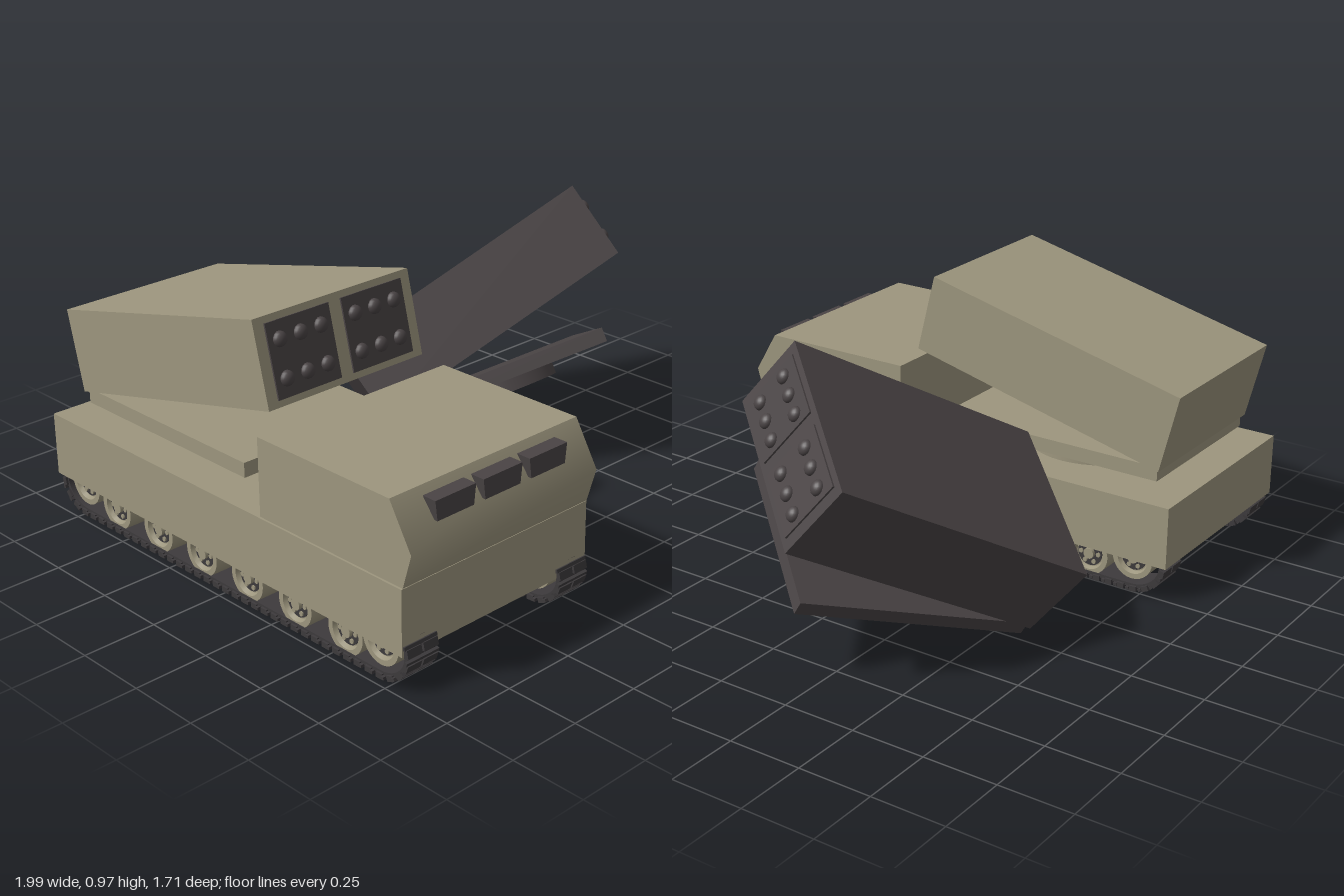
import * as THREE from 'three';
import { toCreasedNormals } from 'three/addons/utils/BufferGeometryUtils.js';

const mat = (name, color) => {
  const m = new THREE.MeshStandardMaterial({ color });
  m.name = name;
  return m;
};
const CX = -0.61; // vehicle centre line

export function createModel() {
  const model = new THREE.Group();
  const tan = mat('desert tan', 0x9d967e);
  const dark = mat('charcoal', 0x4a4445);
  const trackMat = mat('track steel', 0x3d3a3c);

  const add = (parent, name, geo, material, x = 0, y = 0, z = 0) => {
    const m = new THREE.Mesh(geo, material);
    m.name = name;
    m.position.set(x, y, z);
    parent.add(m);
    return m;
  };
  const box = (w, h, d) => new THREE.BoxGeometry(w, h, d);
  // Side profile of [z, y] points, extruded across x and centred
  const sideExtrude = (shape, width) =>
    new THREE.ExtrudeGeometry(shape, { depth: width, bevelEnabled: false, curveSegments: 24 })
      .translate(0, 0, -width / 2).rotateY(-Math.PI / 2);
  const poly = (pts) => new THREE.Shape(pts.map(([a, b]) => new THREE.Vector2(a, b)));

  // Hull and cab
  add(model, 'hull', box(0.77, 0.217, 1.67), tan, CX, 0.2275, -0.018);
  const cab = poly([[0.21, 0.34], [0.82, 0.34], [0.855, 0.455], [0.77, 0.6], [0.21, 0.6]]);
  add(model, 'cab', toCreasedNormals(sideExtrude(cab, 0.765), 0.95), tan, CX);

  // Windscreen shutters, slightly narrower at the bottom
  const shutter = new THREE.ExtrudeGeometry(
    poly([[-0.072, 0.51], [0.072, 0.51], [0.08, 0.575], [-0.08, 0.575]]),
    { depth: 0.06, bevelEnabled: false });
  for (const dx of [-0.19, 0, 0.19]) add(model, 'windowShutter', shutter, dark, CX + dx, 0, 0.775);

  // Launcher; local origin is the rear lower edge of the box
  const PITCH = 0.236, W = 0.625, H = 0.279, L = 0.982;
  const tip = new THREE.SphereGeometry(0.025, 14, 6, 0, Math.PI * 2, 0, Math.PI / 2)
    .scale(1, 0.8, 1).rotateX(Math.PI / 2);
  function launcher(name, bodyMat) {
    const g = new THREE.Group();
    g.name = name;
    add(g, 'turntable', new THREE.CylinderGeometry(0.24, 0.24, 0.045, 40), bodyMat, 0, -0.0625, 0.41);
    add(g, 'basePlate', box(0.6, 0.05, 0.8), bodyMat, 0, -0.015, 0.41);
    const pod = new THREE.Group();
    pod.name = 'launchBox';
    pod.rotation.x = -PITCH;
    g.add(pod);
    add(pod, 'boxBody', box(W, H, L), bodyMat, 0, H / 2, L / 2);
    for (const s of [-1, 1]) {
      add(pod, 'tubePanel', box(0.248, 0.235, 0.008), dark, s * 0.149, H / 2, L + 0.002);
      for (const i of [-1, 0, 1])
        for (const j of [-1, 1])
          add(pod, 'rocketTip', tip, dark, s * 0.149 + i * 0.08, H / 2 + j * 0.06, L + 0.006);
    }
    model.add(g);
    return g;
  }
  launcher('mountedLauncher', tan).position.set(CX, 0.42, -0.77);

  // Detached launcher lying tilted beside the vehicle
  const loose = launcher('detachedLauncher', dark);
  const fwd = new THREE.Vector3(0.825, 0.289, 0.486).normalize();
  const up = new THREE.Vector3(-0.007, 0.863, -0.505);
  const side = up.clone().cross(fwd).normalize();
  up.copy(fwd).cross(side);
  loose.quaternion.setFromRotationMatrix(new THREE.Matrix4().makeBasis(side, up, fwd));
  loose.position.set(0.035, 0.148, -0.388);

  // Running gear
  const loop = (r, rz) => {
    const s = new THREE.Shape();
    s.absellipse(0.71, 0.11, rz, r, -Math.PI / 2, Math.PI / 2, false);
    s.absellipse(-0.72, 0.11, rz, r, Math.PI / 2, Math.PI * 1.5, false);
    s.closePath();
    return s;
  };
  const belt = loop(0.096, 0.113);
  belt.holes.push(loop(0.083, 0.1));
  const beltGeo = sideExtrude(belt, 0.105);
  const linkPath = loop(0.098, 0.115);
  const LINKS = 76;
  const padGeo = box(0.056, 0.018, 0.026);
  const barGeo = box(0.128, 0.01, 0.012);

  const wheelGeo = new THREE.LatheGeometry(
    [[0, -0.035], [0.05, -0.035], [0.056, -0.05], [0.074, -0.05], [0.074, 0.05],
      [0.056, 0.05], [0.05, 0.035], [0, 0.035]].map(([a, b]) => new THREE.Vector2(a, b)), 28);
  const wheelShape = toCreasedNormals(wheelGeo.rotateZ(-Math.PI / 2), 0.5);
  const disc = (r, t, n) => new THREE.CylinderGeometry(r, r, t, n).rotateZ(Math.PI / 2);
  const recess = disc(0.046, 0.076, 24);
  const hub = disc(0.019, 0.1, 16);
  const bolt = disc(0.008, 0.086, 8);

  for (const s of [-1, 1]) {
    const unit = new THREE.Group();
    unit.name = s < 0 ? 'rightTrack' : 'leftTrack';
    unit.position.x = CX + s * 0.317;
    model.add(unit);

    add(unit, 'trackBelt', beltGeo, trackMat);
    for (let i = 0; i < LINKS; i++) {
      const t = i / LINKS;
      const p = linkPath.getPointAt(t), d = linkPath.getTangentAt(t);
      const link = new THREE.Group();
      link.name = 'trackLink';
      link.position.set(0, p.y, p.x);
      link.rotation.x = -Math.atan2(d.y, d.x);
      unit.add(link);
      for (const e of [-1, 1]) add(link, 'trackPad', padGeo, trackMat, e * 0.032);
      add(link, 'trackPin', barGeo, trackMat, 0, 0, 0.018);
    }

    // Six road wheels plus a raised wheel at each end
    const wheels = [0, 1, 2, 3, 4, 5].map((i) => [0.56 - i * 0.2225, 0.088, 'roadWheel']);
    wheels.push([0.71, 0.118, 'driveSprocket'], [-0.72, 0.118, 'idlerWheel']);
    for (const [z, y, name] of wheels) {
      const w = new THREE.Group();
      w.name = name;
      w.position.set(0, y, z);
      unit.add(w);
      add(w, 'wheelRim', wheelShape, tan);
      add(w, 'wheelRecess', recess, trackMat);
      add(w, 'wheelHub', hub, tan);
      for (let k = 0; k < 6; k++) {
        const a = (k * Math.PI) / 3;
        add(w, 'wheelBolt', bolt, tan, 0, Math.sin(a) * 0.033, Math.cos(a) * 0.033);
      }
    }
  }
  return model;
}
